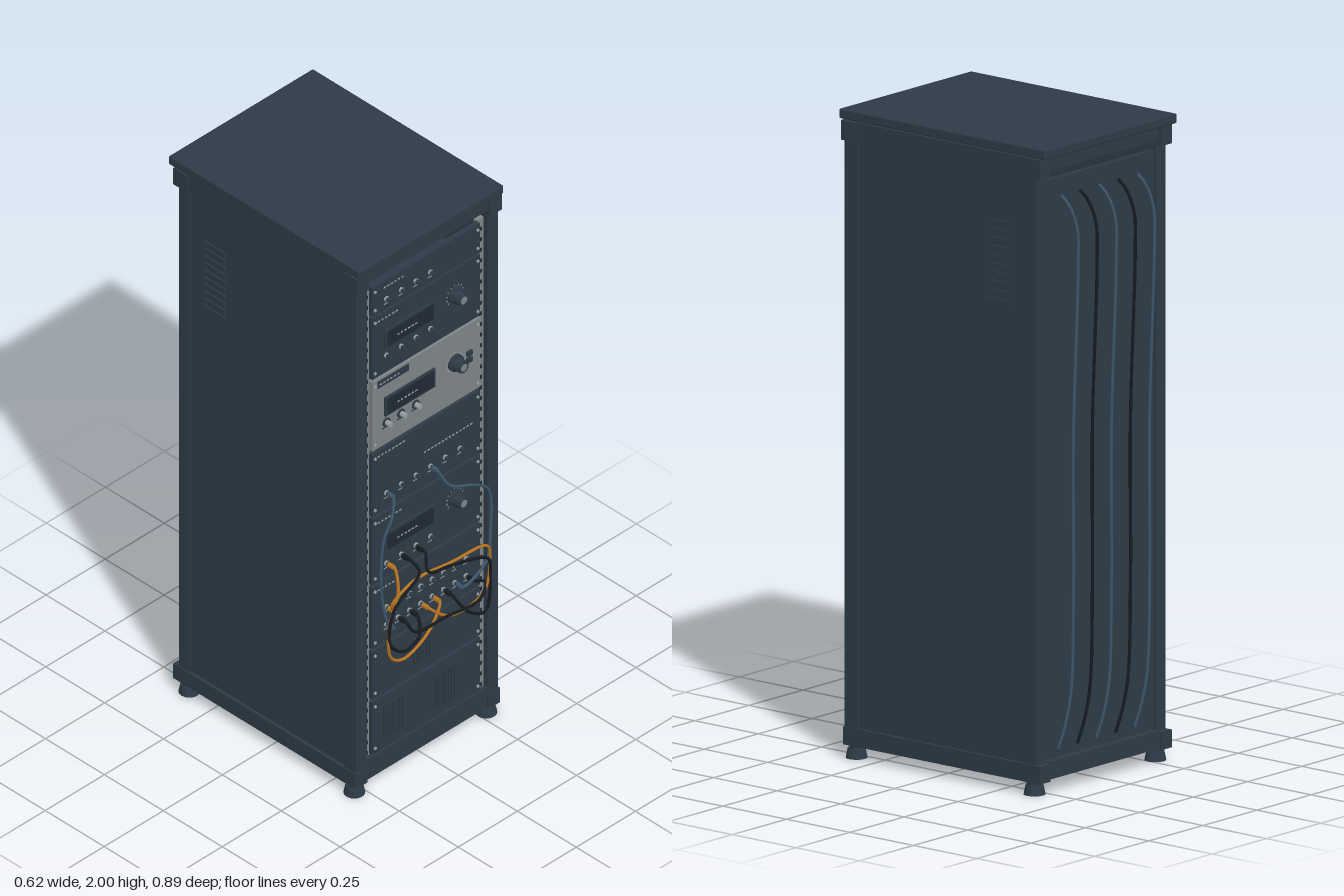
import * as THREE from 'three';
import { RoundedBoxGeometry } from 'three/addons/geometries/RoundedBoxGeometry.js';

const mat = (name, color, side = THREE.FrontSide) => {
  const m = new THREE.MeshStandardMaterial({ color, side });
  m.name = name;
  return m;
};

export function createModel() {
  const slate = mat('slate enclosure', 0x2d3b47);
  const display = mat('display glass', 0x1f2a35);
  const black = mat('black rubber', 0x161b21);
  const grey = mat('grey aluminium', 0x7e8688);
  const silver = mat('silver fittings', 0x98a0a4);
  const teal = mat('blue grey cable', 0x3c566a);
  const orange = mat('orange cable', 0xb8741f);

  const model = new THREE.Group();
  model.name = 'equipmentRack';
  const group = (name) => {
    const g = new THREE.Group();
    g.name = name;
    model.add(g);
    return g;
  };
  const add = (parent, name, geo, material, x, y, z) => {
    const m = new THREE.Mesh(geo, material);
    m.name = name;
    m.position.set(x, y, z);
    parent.add(m);
    return m;
  };
  // Box given by its limits on each axis
  const box = (parent, name, material, x0, x1, y0, y1, z0, z1) =>
    add(parent, name, new THREE.BoxGeometry(x1 - x0, y1 - y0, z1 - z0), material,
      (x0 + x1) / 2, (y0 + y1) / 2, (z0 + z1) / 2);
  // Cylinder pointing forward from a panel
  const disc = (parent, name, material, x, y, z, r, depth, sides = 16, tip = r) => {
    const g = new THREE.CylinderGeometry(tip, r, depth, sides).rotateX(Math.PI / 2);
    return add(parent, name, g, material, x, y, z + depth / 2);
  };

  // Cabinet: lid, frame, side and back panels, floor
  const cabinet = group('cabinet');
  add(cabinet, 'lid', new RoundedBoxGeometry(0.61, 0.03, 0.81, 2, 0.004), slate, 0, 1.985, -0.02);
  for (const s of [-1, 1]) {
    const a = (name, x0, x1, ...rest) =>
      box(cabinet, name, slate, Math.min(s * x0, s * x1), Math.max(s * x0, s * x1), ...rest);
    a('frontPost', 0.255, 0.3, 0.045, 1.905, 0.315, 0.367);
    a('backPost', 0.255, 0.3, 0.045, 1.905, -0.385, -0.34);
    a('frontCornerBlock', 0.255, 0.305, 1.905, 1.966, 0.32, 0.378);
    a('backCornerBlock', 0.255, 0.305, 1.905, 1.966, -0.405, -0.345);
    a('topSideBeam', 0.265, 0.3, 1.905, 1.966, -0.345, 0.32);
    a('lidSpacer', 0.25, 0.285, 1.966, 1.971, -0.37, 0.34);
    a('sidePanel', 0.275, 0.294, 0.095, 1.905, -0.34, 0.315);
    a('baseSideBeam', 0.255, 0.305, 0.04, 0.095, -0.405, 0.37);
    // Louvre fins at the upper rear of each side
    for (let i = 0; i < 10; i++)
      a('sideLouvre', 0.294, 0.299, 1.5 + i * 0.027, 1.512 + i * 0.027, -0.28, -0.19);
    // Feet with a narrow neck
    for (const z of [0.338, -0.362]) {
      add(cabinet, 'footNeck', new THREE.CylinderGeometry(0.022, 0.022, 0.02, 20), slate, s * 0.279, 0.036, z);
      add(cabinet, 'foot', new THREE.CylinderGeometry(0.027, 0.033, 0.03, 24), slate, s * 0.279, 0.015, z);
    }
  }
  box(cabinet, 'frontTopBeam', slate, -0.255, 0.255, 1.922, 1.966, 0.325, 0.367);
  box(cabinet, 'backTopBeam', slate, -0.255, 0.255, 1.922, 1.966, -0.395, -0.35);
  box(cabinet, 'frontBaseBeam', slate, -0.255, 0.255, 0.045, 0.12, 0.32, 0.365);
  box(cabinet, 'backBaseBeam', slate, -0.255, 0.255, 0.045, 0.1, -0.4, -0.345);
  box(cabinet, 'floor', slate, -0.255, 0.255, 0.052, 0.07, -0.35, 0.325);
  box(cabinet, 'backPanel', slate, -0.255, 0.255, 0.1, 1.888, -0.376, -0.36);

  // Perforated mounting rails
  const rails = group('mountingRails');
  for (const x of [-0.241, 0.241]) {
    box(rails, 'rail', grey, x - 0.014, x + 0.014, 0.1, 1.89, 0.335, 0.35);
    for (let i = 0; i < 44; i++) {
      const y = 0.125 + i * 0.04;
      box(rails, 'railHole', display, x - 0.006, x + 0.006, y, y + 0.013, 0.35, 0.352);
    }
  }

  // Rack units
  const F = 0.363;
  const unit = (name, y0, y1, material = slate) => {
    const g = group(name);
    box(g, 'facePlate', material, -0.228, 0.228, y0, y1, 0.345, F);
    if (y1 < 1.8) box(g, 'chassis', slate, -0.215, 0.215, y0 + 0.01, y1 - 0.01, 0.1, 0.345);
    for (const x of [-0.217, 0.217])
      for (const y of [y0 + 0.02, y1 - 0.02])
        disc(g, 'screw', silver, x, y, F, 0.005, 0.004, 10);
    return g;
  };
  const jack = (g, x, y, r = 0.009) => {
    disc(g, 'jackCollar', silver, x, y, F, r, 0.006, 6);
    disc(g, 'jack', slate, x, y, F, r * 0.75, 0.022, 12);
  };
  const jackRow = (g, y, n, x0 = -0.17, step = 0.062, marks = true) => {
    for (let i = 0; i < n; i++) {
      jack(g, x0 + i * step, y);
      if (marks) box(g, 'mark', silver, x0 + i * step - 0.01, x0 + i * step + 0.01, y - 0.02, y - 0.017, F, F + 0.001);
    }
  };
  const marks = (g, x0, y, n, step = 0.015, z = F) => {
    for (let i = 0; i < n; i++)
      box(g, 'mark', silver, x0 + i * step, x0 + i * step + 0.009, y, y + 0.005, z, z + 0.001);
  };
  // Framed readout with a large ribbed knob beside it
  const readout = (g, y) => {
    box(g, 'displayBezel', slate, -0.178, 0.033, y - 0.035, y + 0.035, F, F + 0.006);
    box(g, 'displayGlass', display, -0.17, 0.025, y - 0.028, y + 0.028, F + 0.006, F + 0.008);
    marks(g, -0.13, y - 0.005, 6, 0.015, F + 0.008);
    const ky = y + 0.008;
    for (let i = 0; i < 11; i++) {
      const a = -0.7 + i * 0.454;
      const t = box(g, 'dialTick', silver, -0.004, 0.004, -0.001, 0.001, F, F + 0.001);
      t.position.x = 0.12 + Math.cos(a) * 0.034;
      t.position.y = ky + Math.sin(a) * 0.034;
      t.rotation.z = a;
    }
    disc(g, 'knobSkirt', slate, 0.12, ky, F, 0.028, 0.012, 24);
    disc(g, 'knob', slate, 0.12, ky, F + 0.012, 0.023, 0.028, 24, 0.02);
    disc(g, 'knobCap', grey, 0.12, ky, F + 0.04, 0.013, 0.001, 20);
  };
  const vent = (g, x, y0, y1, n) => {
    for (let i = 0; i < n; i++) {
      const vx = x + (i - (n - 1) / 2) * 0.013;
      box(g, 'ventFin', slate, vx - 0.003, vx + 0.003, y0, y1, F, F + 0.006);
    }
  };

  const u1 = unit('switchUnit', 1.778, 1.887);
  jackRow(u1, 1.818, 4);
  marks(u1, -0.18, 1.86, 6);

  const u2 = unit('upperControlUnit', 1.54, 1.77);
  readout(u2, 1.667);
  jackRow(u2, 1.605, 4, -0.17, 0.062, false);
  marks(u2, -0.205, 1.745, 6);

  const u3 = unit('aluminiumControlUnit', 1.27, 1.53, grey);
  readout(u3, 1.413);
  for (let i = 0; i < 3; i++) {
    disc(u3, 'buttonRing', slate, -0.17 + i * 0.062, 1.352, F, 0.015, 0.004, 20);
    disc(u3, 'button', silver, -0.17 + i * 0.062, 1.352, F, 0.009, 0.022, 16);
    box(u3, 'buttonLabel', slate, -0.186 + i * 0.062, -0.154 + i * 0.062, 1.332, 1.336, F, F + 0.001);
  }
  box(u3, 'labelPlate', slate, -0.205, -0.075, 1.497, 1.522, F, F + 0.003);
  marks(u3, -0.2, 1.507, 6, 0.015, F + 0.003);
  for (const y of [1.4, 1.425]) box(u3, 'smallButton', slate, 0.168, 0.19, y - 0.008, y + 0.008, F, F + 0.008);

  const u4 = unit('inputUnit', 1.023, 1.257);
  jackRow(u4, 1.085, 6);
  marks(u4, -0.01, 1.147, 14);
  marks(u4, -0.205, 1.235, 8);

  const u5 = unit('lowerControlUnit', 0.765, 1.013);
  readout(u5, 0.9);
  jackRow(u5, 0.82, 4);
  marks(u5, -0.205, 0.985, 7);

  const u6 = unit('patchUnit', 0.523, 0.755);
  for (const y of [0.59, 0.655]) jackRow(u6, y, 8, -0.17, 0.048);
  marks(u6, -0.205, 0.73, 5);

  const u7 = unit('ventedBlank', 0.333, 0.513);
  vent(u7, -0.02, 0.37, 0.47, 6);
  const u8 = unit('bottomVentUnit', 0.125, 0.322);
  for (const x of [-0.14, 0.08]) vent(u8, x, 0.16, 0.285, 7);

  // Patch cables across the front, each ending in plugs
  const cables = group('cables');
  const cable = (name, material, pts, r = 0.005) => {
    const curve = new THREE.CatmullRomCurve3(pts.map((p) => new THREE.Vector3(...p)), false, 'centripetal');
    add(cables, name, new THREE.TubeGeometry(curve, 64, r, 8), material, 0, 0, 0);
  };
  const patch = (name, material, pts) => {
    const a = pts[0], b = pts[pts.length - 1];
    for (const [x, y] of [a, b]) disc(cables, 'plug', material, x, y, F + 0.012, 0.008, 0.02, 12);
    cable(name, material, [[a[0], a[1], 0.39], ...pts, [b[0], b[1], 0.39]]);
  };
  patch('blackPatchCable', black, [[-0.11, 0.82, 0.41], [-0.1, 0.785, 0.435], [-0.2, 0.7, 0.432],
    [-0.215, 0.57, 0.425], [-0.15, 0.51, 0.425], [-0.085, 0.53, 0.42], [-0.074, 0.59, 0.4]]);
  patch('blackPatchCable', black, [[-0.05, 0.82, 0.41], [-0.07, 0.775, 0.44], [0.05, 0.735, 0.435],
    [0.2, 0.67, 0.425], [0.215, 0.61, 0.42], [0.195, 0.472, 0.42], [0.12, 0.51, 0.42], [0.07, 0.59, 0.4]]);
  patch('blackPatchCable', black, [[-0.122, 0.59, 0.4], [-0.1, 0.55, 0.415], [0.03, 0.54, 0.42],
    [0.17, 0.53, 0.42], [0.205, 0.57, 0.41], [0.166, 0.59, 0.4]]);
  patch('orangePatchCable', orange, [[-0.17, 0.82, 0.4], [-0.18, 0.75, 0.425], [-0.218, 0.63, 0.425],
    [-0.205, 0.51, 0.42], [-0.15, 0.478, 0.42], [-0.04, 0.52, 0.415], [0.022, 0.59, 0.4]]);
  patch('orangePatchCable', orange, [[-0.17, 0.655, 0.4], [-0.2, 0.71, 0.42], [-0.12, 0.76, 0.43],
    [0.04, 0.745, 0.43], [0.2, 0.715, 0.42], [0.218, 0.65, 0.415], [0.19, 0.54, 0.415],
    [0.05, 0.53, 0.415], [-0.026, 0.59, 0.4]]);
  patch('bluePatchCable', teal, [[-0.17, 1.085, 0.395], [-0.19, 1.03, 0.41], [-0.222, 0.95, 0.405],
    [-0.225, 0.75, 0.4], [-0.21, 0.64, 0.41], [-0.17, 0.59, 0.4]]);
  patch('bluePatchCable', teal, [[0.015, 1.085, 0.395], [0.05, 1.02, 0.412], [0.16, 0.96, 0.41],
    [0.228, 0.9, 0.4], [0.235, 0.75, 0.4], [0.21, 0.64, 0.405], [0.118, 0.59, 0.4]]);

  // Long vertical cables on the back
  for (let i = 0; i < 5; i++) {
    const x = -0.18 + i * 0.088;
    cable('rearCable', i % 2 ? black : teal, [[x + 0.03, 1.84, -0.4], [x + 0.02, 1.815, -0.42],
      [x, 1.74, -0.438], [x - 0.005, 1.62, -0.438], [x + 0.005, 1.1, -0.428], [x - 0.002, 0.6, -0.422],
      [x + 0.005, 0.3, -0.418], [x + 0.02, 0.19, -0.405], [x + 0.03, 0.13, -0.39]], 0.005);
  }
  return model;
}
